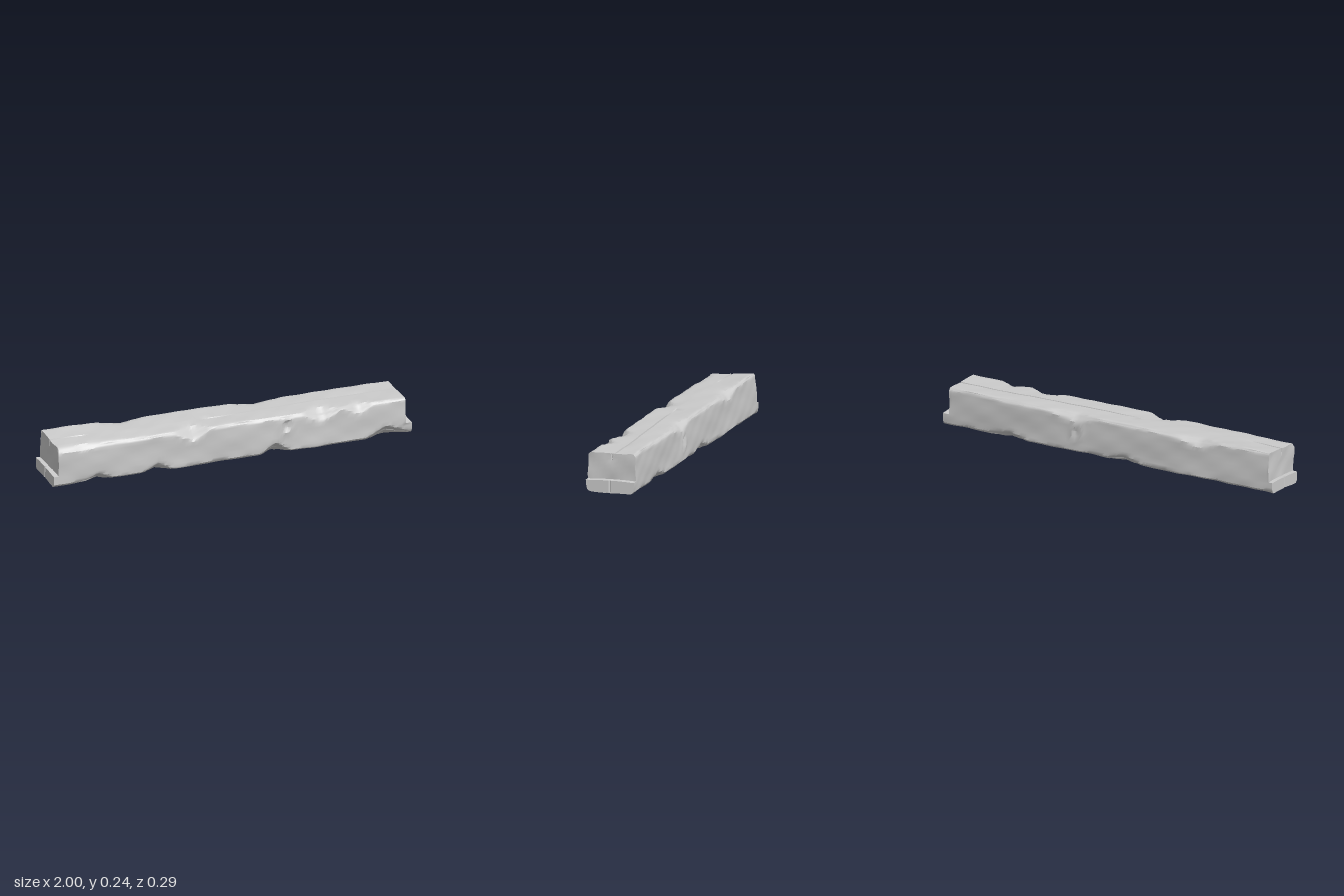
import * as THREE from 'three';
import { mergeVertices, toCreasedNormals } from 'three/addons/utils/BufferGeometryUtils.js';

const lerp = THREE.MathUtils.lerp;
const bump = (d, w) => Math.max(0, 1 - Math.abs(d) / w);
const wave = (a, b, c) =>
  (Math.sin(a * 7.3 + b * 3.1 + c) + Math.sin(a * 17.9 - b * 4.7 + c * 2.3) * 0.6 + Math.sin(a * 41 + b * 7 + c) * 0.35) / 1.95;

// Rows up the side (-1 bottom, 1 top); the doubled row is the ledge at each end
const ROWS = [-1, -0.95, -0.88, -0.72, -0.55, -0.4, -0.4, -0.15, 0.1, 0.35, 0.6, 0.78, 0.9, 0.96, 1];
// Columns across the depth (-1 back, 1 front), tight around the central crack
const COLS = [-1, -0.96, -0.9, -0.78, -0.55, -0.3, -0.04, 0, 0.04, 0.3, 0.55, 0.78, 0.9, 0.96, 1];
const LEDGE = 6; // first row belonging to the shortened upper part

// Broken edges: x, front/back, top/bottom, size, half length
const CHIPS = [
  [-0.22, 1, 1, 0.055, 0.1], [0.5, 1, 1, 0.05, 0.1], [0.7, 1, 1, 0.04, 0.08], [-0.85, 1, 1, 0.02, 0.2],
  [0.24, 1, -1, 0.05, 0.08], [0.86, 1, -1, 0.05, 0.12], [-0.42, 1, -1, 0.04, 0.08], [-0.75, 1, -1, 0.03, 0.07],
  [-0.55, -1, 1, 0.03, 0.12], [0.2, -1, 1, 0.03, 0.15], [-0.1, -1, -1, 0.03, 0.1], [0.6, -1, -1, 0.03, 0.12],
];

// Knots: x, front/back, height fraction, radius
const KNOTS = [[0.19, -1, 0, 0.045], [0.3, 1, 0.45, 0.05]];

function shapePoint(p) {
  const row = Math.round((p.y + 0.5) * (ROWS.length - 1));
  const col = Math.round((p.z + 0.5) * (COLS.length - 1));
  const upper = row >= LEDGE;
  let x = p.x;
  const t = (x + 1) / 2;
  const u = COLS[col];
  let v = ROWS[row];
  if (row === LEDGE || row === LEDGE - 1) v += 0.035 * x + 0.025 * wave(u * 0.4, 0, 2);

  // Upper part stops short of the lower tongue at both ends
  const onEnd = Math.abs(p.x) > 0.999;
  if (upper) x = THREE.MathUtils.clamp(x, -0.975, 0.963);
  if (onEnd && upper) x += 0.004 * wave(u * 0.3, v, 1);

  // Slightly twisted cross-section
  const f = (u + 1) / 2;
  const h = (v + 1) / 2;
  const bottom = lerp(lerp(0.021, 0.004, f), lerp(0.024, 0.027, f), t);
  const top = lerp(lerp(0.233, 0.217, f), lerp(0.233, 0.227, f), t) + 0.007 * bump(x + 0.8, 0.3) * (1 - f);
  const hy = (top - bottom) / 2;
  const hz = 0.13;
  let y = lerp(bottom, top, h);
  let z = lerp(-0.012, 0.007, t) + u * hz + (1 - t) * 0.006 * v;

  // Bevelled and chipped long edges
  const su = Math.sign(u), sv = Math.sign(v);
  let size = 0.013 + 0.006 * wave(x, su, sv * 2);
  for (const [cx, cu, cv, s, w] of CHIPS) if (cu === su && cv === sv) size += s * bump(x - cx, w);
  const cut = size - hz * (1 - Math.abs(u)) - hy * (1 - Math.abs(v));
  if (cut > 0) {
    z -= su * cut / 2;
    y -= sv * cut / 2;
  }

  // Hewn unevenness on the four long faces
  if (Math.abs(u) === 1) z += 0.003 * wave(x, v, su);
  if (Math.abs(v) === 1) y += 0.0025 * wave(x, u, sv + 4);

  // Drying cracks along the top and bottom
  const wander = 0.016 * Math.sin(x * 2.6 + 2.4);
  if (Math.abs(u) < 0.1) {
    if (v === 1) {
      z += wander;
      if (u === 0) y -= 0.022 * Math.min(1, bump(x - 0.55, 0.7) * 3 + bump(x + 0.95, 0.2));
    } else if (v === -1) {
      z -= wander;
      if (u === 0) y += 0.016 * Math.min(1, bump(x, 0.85) * 2) * (0.6 + 0.4 * Math.sin(x * 11));
    }
    // Short split down each end face
    if (onEnd && u === 0 && (v > 0.7 || !upper)) x -= Math.sign(x) * 0.008;
  }

  // Knots: raised rim around a hollow
  for (const [kx, ks, kv, r] of KNOTS) {
    if (u !== ks) continue;
    const d = Math.hypot(x - kx, (v - kv) * hy) / r;
    z += ks * (0.007 * bump(d - 0.75, 0.4) - 0.01 * bump(d, 0.6));
  }
  p.set(x, y, z);
}

export function createModel() {
  const group = new THREE.Group();
  group.name = 'woodenBeam';

  // Weathered beam, one subdivided box moved by the rules above
  let geometry = new THREE.BoxGeometry(2, 1, 1, 110, ROWS.length - 1, COLS.length - 1);
  geometry.deleteAttribute('normal');
  geometry.deleteAttribute('uv');
  geometry = mergeVertices(geometry);
  const pos = geometry.attributes.position;
  const p = new THREE.Vector3();
  for (let i = 0; i < pos.count; i++) {
    shapePoint(p.fromBufferAttribute(pos, i));
    pos.setXYZ(i, p.x, p.y, p.z);
  }
  geometry = toCreasedNormals(geometry, 0.65);
  geometry.computeBoundingBox();
  geometry.translate(0, -geometry.boundingBox.min.y, 0);

  const beam = new THREE.Mesh(geometry, new THREE.MeshStandardMaterial({ color: 0xcccccc }));
  beam.name = 'beam';
  group.add(beam);
  return group;
}
